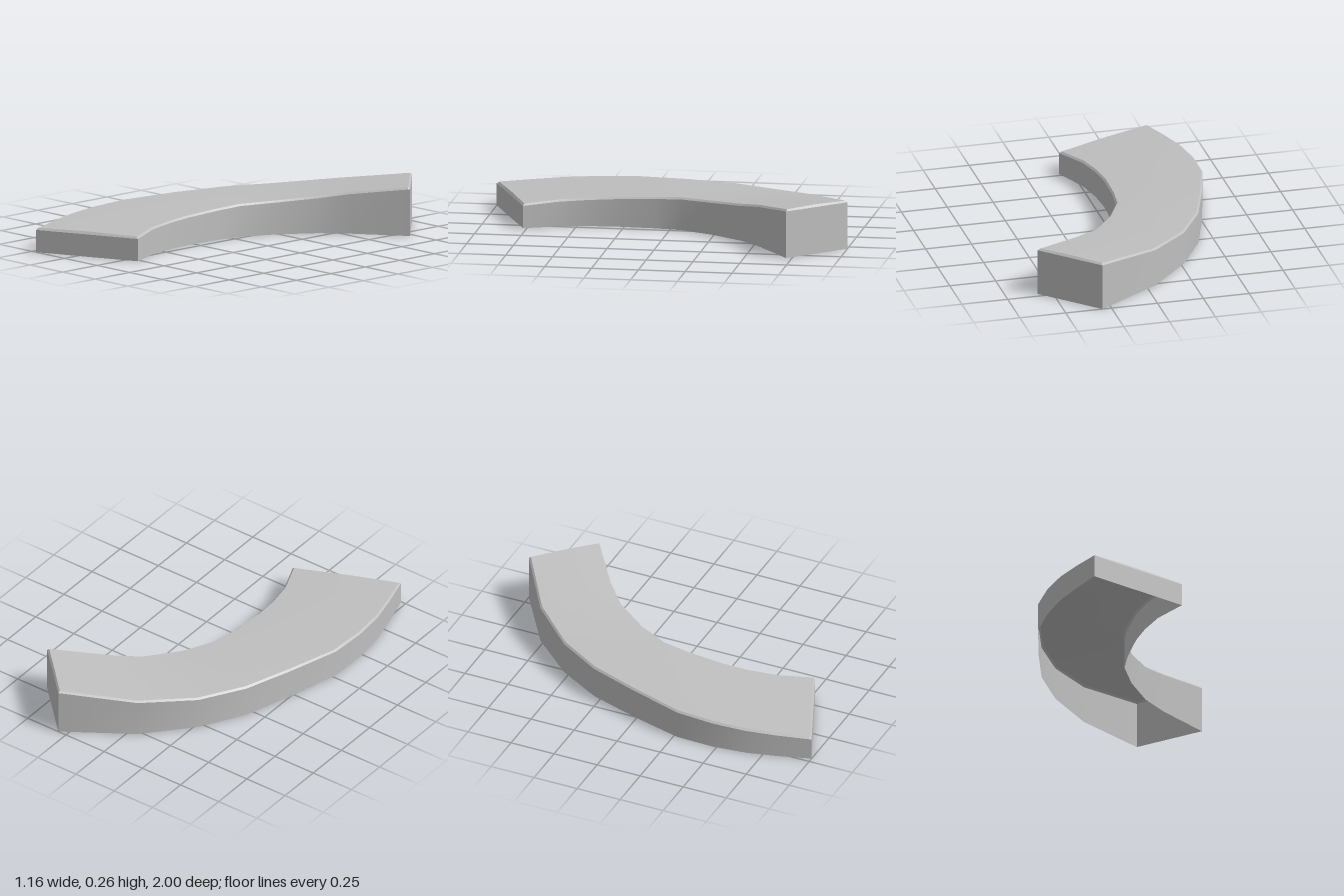
import * as THREE from 'three';
import { toCreasedNormals } from 'three/addons/utils/BufferGeometryUtils.js';

// Stations from the back end to the front end: [x, height, z] on each edge
const OUTER = [
  [0.30, 0.261, -1.0], [-0.05, 0.212, -0.77], [-0.27, 0.186, -0.53], [-0.41, 0.18, -0.29],
  [-0.50, 0.174, -0.02], [-0.58, 0.163, 0.27], [-0.585, 0.155, 0.48], [-0.565, 0.147, 0.66],
  [-0.525, 0.139, 0.82], [-0.47, 0.13, 1.0],
];
const INNER = [
  [0.58, 0.261, -0.72], [0.315, 0.222, -0.53], [0.19, 0.197, -0.415], [0.065, 0.181, -0.235],
  [-0.02, 0.175, -0.06], [-0.04, 0.168, 0.08], [-0.05, 0.158, 0.29], [-0.04, 0.151, 0.43],
  [-0.01, 0.143, 0.585], [0.07, 0.13, 0.77],
];
const BEVEL = 0.01;
const CROWN = 0.004;

const toVectors = (list) => list.map((p) => new THREE.Vector3(...p));

// Adds a station just inside each end, so the end edges are bevelled too
function withEndBevels(points) {
  const inset = (a, b) => a.clone().lerp(b, BEVEL / a.distanceTo(b));
  const n = points.length;
  return [points[0], inset(points[0], points[1]), ...points.slice(1, n - 1),
    inset(points[n - 1], points[n - 2]), points[n - 1]];
}

// Cross-section: up the outer wall, over the top, down the inner wall
function section(outer, inner, isEnd) {
  const across = inner.clone().sub(outer).setY(0).normalize().multiplyScalar(BEVEL);
  const drop = isEnd ? BEVEL : 0;
  const at = (p, y, side = 0) => new THREE.Vector3(p.x + across.x * side, y, p.z + across.z * side);
  const middle = outer.clone().lerp(inner, 0.5);
  return [
    at(outer, 0), at(outer, outer.y - BEVEL), at(outer, outer.y - drop, 1),
    at(middle, middle.y - drop + (isEnd ? 0 : CROWN)),
    at(inner, inner.y - drop, -1), at(inner, inner.y - BEVEL), at(inner, 0),
  ];
}

// Curved block, open underneath
function blockGeometry() {
  const outer = withEndBevels(toVectors(OUTER));
  const inner = withEndBevels(toVectors(INNER));
  const last = outer.length - 1;
  const rows = outer.map((p, i) => section(p, inner[i], i === 0 || i === last));
  const size = rows[0].length;
  const index = [];
  for (let i = 0; i < last; i++) {
    for (let j = 0; j < size - 1; j++) {
      const a = i * size + j;
      const d = a + size;
      index.push(a, d, d + 1, a, d + 1, a + 1);
    }
  }
  // End faces
  const f = last * size;
  for (let j = 1; j < size - 1; j++) {
    index.push(0, j, j + 1, f, f + j + 1, f + j);
  }
  const geometry = new THREE.BufferGeometry().setFromPoints(rows.flat());
  geometry.setIndex(index);
  return toCreasedNormals(geometry, Math.PI / 7);
}

export function createModel() {
  const stone = new THREE.MeshStandardMaterial({ color: 0xbfbfbf, side: THREE.DoubleSide });
  stone.name = 'light grey';
  const block = new THREE.Mesh(blockGeometry(), stone);
  block.name = 'curvedBlock';
  const group = new THREE.Group();
  group.name = 'curvedRamp';
  group.add(block);
  return group;
}
